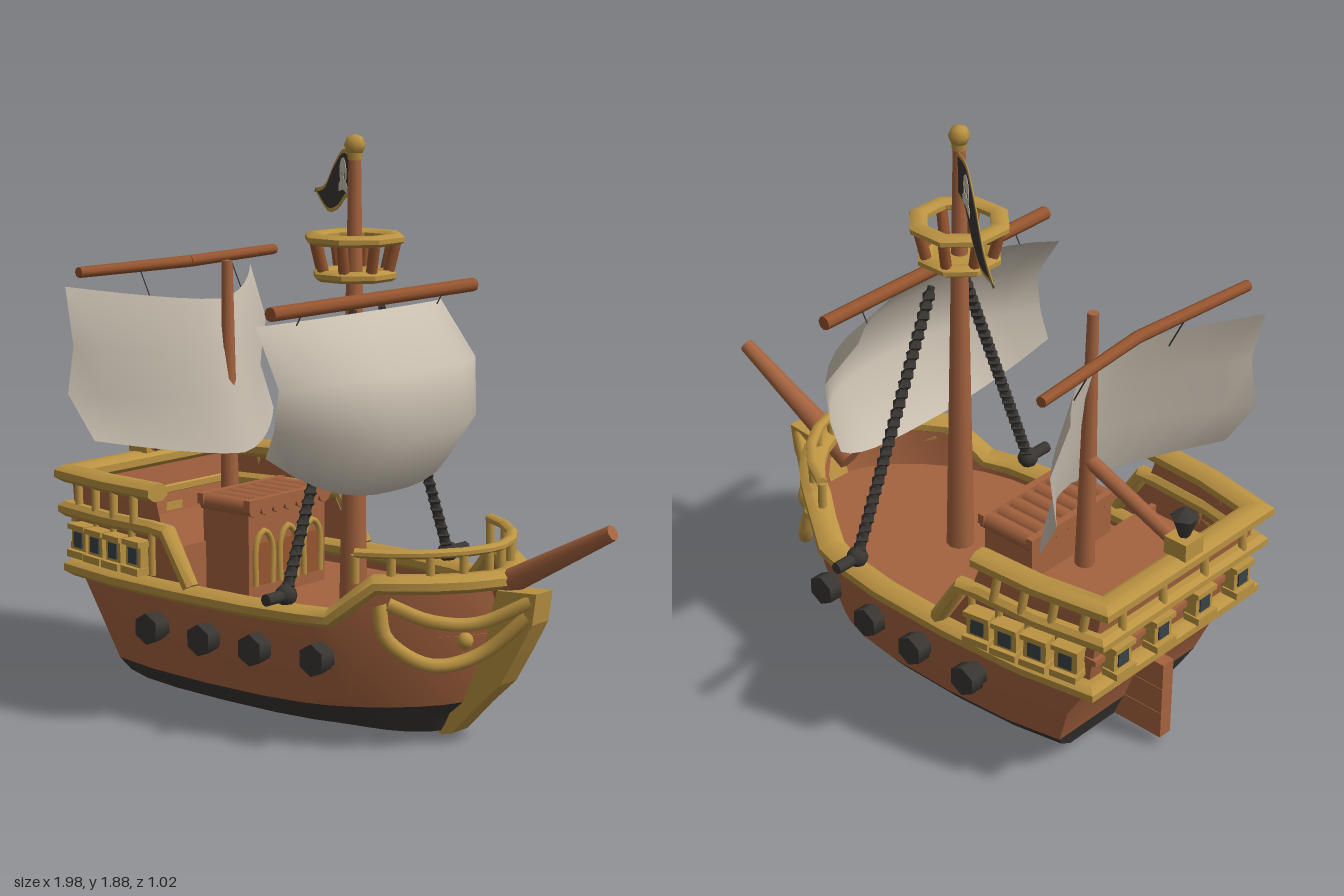
import * as THREE from 'three';
import { toCreasedNormals } from 'three/addons/utils/BufferGeometryUtils.js';

const V = (x, y, z) => new THREE.Vector3(x, y, z);
const mat = (name, color, side = THREE.FrontSide) => {
  const m = new THREE.MeshStandardMaterial({ color, side });
  m.name = name;
  return m;
};

export function createModel() {
  const wood = mat('wood', 0xa5633f, THREE.DoubleSide);
  const darkWood = mat('darkWood', 0x96552f);
  const gold = mat('goldTrim', 0xbb9342);
  const black = mat('black', 0x3a3733, THREE.DoubleSide);
  const canvas = mat('canvas', 0xc9bfb0, THREE.DoubleSide);
  const glass = mat('glass', 0x3a4348);
  const ship = new THREE.Group();
  ship.name = 'sailingShip';

  const add = (name, geo, m, x = 0, y = 0, z = 0) => {
    const mesh = new THREE.Mesh(geo, m);
    mesh.name = name;
    mesh.position.set(x, y, z);
    ship.add(mesh);
    return mesh;
  };
  const box = (name, m, w, h, d, x, y, z) => add(name, new THREE.BoxGeometry(w, h, d), m, x, y, z);
  // tapered round bar between two points
  const bar = (name, m, a, b, r0, r1 = r0, sides = 8) => {
    const d = b.clone().sub(a);
    const mesh = add(name, new THREE.CylinderGeometry(r1, r0, d.length(), sides), m);
    mesh.position.copy(a).addScaledVector(d, 0.5);
    mesh.quaternion.setFromUnitVectors(V(0, 1, 0), d.normalize());
  };
  const tube = (name, m, pts, r) => add(name, new THREE.TubeGeometry(
    new THREE.CatmullRomCurve3(pts, false, 'catmullrom', 0.5), pts.length * 4, r, 8), m);
  // surface through rows of points
  const loft = (rows, crease = 0.7) => {
    const n = rows[0].length, idx = [];
    for (let j = 0; j < rows.length - 1; j++) for (let i = 0; i < n - 1; i++) {
      const a = j * n + i, b = a + n;
      idx.push(a, a + 1, b, a + 1, b + 1, b);
    }
    const g = new THREE.BufferGeometry().setFromPoints(rows.flat());
    g.setIndex(idx);
    g.computeVertexNormals();
    return toCreasedNormals(g, crease);
  };
  // eight-sided flat rail with mitred corners
  const rail = (name, pts, w, h, closed = false) => {
    const n = pts.length;
    const rows = pts.map((p, i) => {
      const before = closed || i > 0 ? p.clone().sub(pts[(i + n - 1) % n]).normalize() : null;
      const after = closed || i < n - 1 ? pts[(i + 1) % n].clone().sub(p).normalize() : null;
      const t = (before || after).clone().add(after || before).normalize();
      const side = V(-t.z, 0, t.x).normalize(), up = side.clone().cross(t);
      const mitre = 1 / Math.max(0.65, t.dot(before || after));
      return Array.from({ length: 9 }, (_, k) => {
        const a = -(k + 0.5) * Math.PI / 4;
        return p.clone().addScaledVector(side, Math.cos(a) * w * 0.54 * mitre).addScaledVector(up, Math.sin(a) * h * 0.54);
      });
    });
    const cap = (p) => Array(9).fill(p);
    add(name, loft(closed ? [...rows, rows[0]] : [cap(pts[0]), ...rows, cap(pts[n - 1])]), gold);
  };
  const mirrored = (side) => [...side, ...side.slice().reverse().map((p) => V(p.x, p.y, -p.z))];

  // ---- hull: plan outline [along, width], then levels [y, stern x, bow x, half width]
  const plan = [[0, 0.86], [0.15, 0.955], [0.35, 1], [0.55, 0.995], [0.68, 0.94], [0.745, 0.875], [0.79, 0.805],
    [0.83, 0.73], [0.88, 0.61], [0.93, 0.45], [0.97, 0.27], [1, 0.04]];
  const sheer = (x) => 0.415 + 0.115 * THREE.MathUtils.smoothstep(x, 0.22, 0.33);
  const level = (y, xs, xb, w) => plan.map(([u, k]) => {
    const x = THREE.MathUtils.lerp(xs, xb, u);
    return V(x, typeof y === 'function' ? y(x) : y, w * k);
  });
  const ring = (side) => { const r = mirrored(side); return [...r, r[0].clone()]; };
  const bottom = (x) => 0.035 - 0.022 * THREE.MathUtils.smoothstep(x, 0.1, 0.38);
  const keel = level(bottom, -0.72, 0.4, 0.28);
  const bilge = level(0.075, -0.735, 0.43, 0.35);
  const water = level(0.12, -0.755, 0.48, 0.388);
  const middle = level((x) => (0.12 + sheer(x)) / 2, -0.81, 0.57, 0.425);
  const rim = level(sheer, -0.9, 0.59, 0.43);
  add('lowerHull', loft([keel, bilge, water].map(ring)), black);
  add('upperHull', loft([water, middle, rim].map(ring)), wood);
  // open-bottomed hull with a wooden lining
  const lining = [level(bottom, -0.712, 0.392, 0.272), level(0.078, -0.727, 0.422, 0.342), level(0.125, -0.745, 0.47, 0.38)];
  add('hullLining', loft(lining.map(ring)), wood);
  const deck = level(0.36, -0.86, 0.58, 0.42);
  add('mainDeck', loft([deck, deck.map((p) => V(p.x, p.y, -p.z))]), wood);
  rail('mainRail', mirrored(rim), 0.085, 0.058, true);
  for (let i = 0; i < 3; i++) box('rudder', wood, 0.2, 0.093, 0.05, -0.81, 0.082 + i * 0.095, 0);

  // ---- stem post
  const stem = new THREE.Shape([[0.6, 0.5], [0.75, 0.51], [0.735, 0.41], [0.68, 0.31], [0.615, 0.2], [0.525, 0.115],
    [0.425, 0.01], [0.385, 0], [0.34, 0.025], [0.45, 0.12], [0.54, 0.3]].reverse().map(([x, y]) => new THREE.Vector2(x, y)));
  add('stemPost', new THREE.ExtrudeGeometry(stem, { depth: 0.085, bevelEnabled: false }), gold, 0, 0, -0.0425);
  bar('bowsprit', wood, V(0.5, 0.46, 0), V(0.985, 0.725, -0.02), 0.045, 0.025);

  // ---- bow railing
  const bowRail = [[0.28, 0.345], [0.38, 0.29], [0.47, 0.21], [0.53, 0.12], [0.56, 0.03]];
  rail('bowRailing', mirrored(bowRail.map(([x, z]) => V(x, 0.625, z))), 0.035, 0.028);

  for (const s of [1, -1]) {
    for (const [x, z] of bowRail) bar('bowRailPost', gold, V(x, 0.53, z * s), V(x, 0.62, z * s), 0.014);
    // head rails sweeping to the stem
    tube('lowerHeadRail', gold, [V(0.36, 0.47, 0.325 * s), V(0.39, 0.36, 0.32 * s), V(0.49, 0.28, 0.23 * s),
      V(0.59, 0.31, 0.11 * s), V(0.71, 0.43, 0.03 * s)], 0.023);
    tube('upperHeadRail', gold, [V(0.38, 0.47, 0.305 * s), V(0.49, 0.42, 0.23 * s), V(0.59, 0.41, 0.12 * s),
      V(0.72, 0.48, 0.03 * s)], 0.022);
    add('headKnob', new THREE.SphereGeometry(0.027, 8, 6), gold, 0.56, 0.355, 0.15 * s);

    // cannons
    for (const [x, out] of [[-0.48, 0.49], [-0.25, 0.49], [-0.04, 0.48], [0.19, 0.45]]) {
      bar('cannon', black, V(x, 0.29, 0.38 * s), V(x, 0.29, (out - 0.02) * s), 0.042, 0.042, 6);
      bar('cannonMuzzle', black, V(x, 0.29, (out - 0.05) * s), V(x, 0.29, out * s), 0.052, 0.052, 6);
    }

    // knotted shrouds
    const foot = V(0.055, 0.47, 0.41 * s), head = V(0.045, 1.33, 0.07 * s);
    bar('shroud', black, foot, head, 0.018, 0.012, 6);
    for (let i = 0; i < 28; i++) {
      const p = foot.clone().lerp(head, i / 28);
      add('shroudKnot', new THREE.OctahedronGeometry(0.028), black, p.x, p.y, p.z);
    }
    add('shroudBlock', new THREE.SphereGeometry(0.036, 8, 6), black, 0.055, 0.47, 0.41 * s);
    bar('shroudPeg', black, V(0.055, 0.47, 0.4 * s), V(0.055, 0.47, 0.505 * s), 0.02);
  }

  // ---- raised stern
  const aft = (y, x0, x1, w) => [V(x0, y, w + 0.055), V((x0 + x1) / 2, y, w + 0.042), V(x1, y, w)];
  add('sternWall', loft([mirrored(aft(0.41, -0.34, -0.89, 0.365)), mirrored(aft(0.6, -0.46, -0.92, 0.37)),
    mirrored(aft(0.72, -0.5, -0.935, 0.365))], 0.4), wood);
  box('sternDeck', wood, 0.43, 0.02, 0.75, -0.71, 0.52, 0);
  box('sternBulkhead', wood, 0.02, 0.17, 0.82, -0.5, 0.445, 0);
  rail('upperSternRail', mirrored(aft(0.728, -0.485, -0.945, 0.365)), 0.085, 0.058);
  rail('middleSternRail', mirrored([V(-0.33, 0.44, 0.435), V(-0.43, 0.607, 0.435), ...aft(0.61, -0.5, -0.945, 0.375)]),
    0.055, 0.05);
  const sternWindow = (x, z, turn) => {
    const g = new THREE.Group();
    g.name = 'sternWindow';
    const part = (w, h, d, m, y, zz) => {
      const p = new THREE.Mesh(new THREE.BoxGeometry(w, h, d), m);
      p.position.set(0, y, zz);
      g.add(p);
    };
    part(0.08, 0.09, 0.05, gold, 0, -0.005);
    part(0.046, 0.052, 0.008, glass, 0.003, 0.021);
    part(0.092, 0.024, 0.06, gold, -0.045, 0.008);
    part(0.092, 0.018, 0.055, gold, 0.045, 0.005);
    g.position.set(x, 0.52, z);
    g.rotation.y = turn;
    ship.add(g);
  };
  for (const s of [1, -1]) {
    [0.405, 0.43, 0.45, 0.462].forEach((z, i) => {
      const x = -0.845 + i * 0.103;
      sternWindow(x, z * s, (s > 0 ? 0 : Math.PI) - 0.18 * s);
      bar('sternBaluster', gold, V(x - 0.035, 0.62, (z - 0.017) * s), V(x - 0.045, 0.72, (z - 0.027) * s), 0.014);
      bar('windowPost', gold, V(x + 0.05, 0.46, (z - 0.012) * s), V(x + 0.05, 0.6, (z - 0.012) * s), 0.012);
    });
    for (const z of [0.1, 0.29]) {
      sternWindow(-0.94, z * s, -Math.PI / 2);
      bar('sternBaluster', gold, V(-0.955, 0.62, z * s), V(-0.95, 0.72, z * s), 0.014);
    }
  }

  // ---- stern lantern
  box('lanternStand', gold, 0.085, 0.06, 0.085, -0.945, 0.785, 0);
  add('lanternBody', new THREE.CylinderGeometry(0.042, 0.018, 0.07, 6), black, -0.945, 0.85, 0);
  add('lanternRoof', new THREE.ConeGeometry(0.047, 0.035, 6), black, -0.945, 0.902, 0);

  // ---- deck cabin with slatted roof and arched openings
  box('cabin', wood, 0.2, 0.3, 0.38, -0.4, 0.5, 0);
  for (let i = 0; i < 7; i++) {
    const z = (i - 3) * 0.058;
    bar('roofSlat', wood, V(-0.505, 0.662, z), V(-0.285, 0.662, z), 0.03);
  }
  for (const x of [-0.5, -0.295]) box('roofEdge', wood, 0.025, 0.035, 0.41, x, 0.674, 0);
  for (const z of [-0.12, 0, 0.12]) {
    const arch = [[0.4, 0.04], [0.53, 0.04], [0.58, 0], [0.53, -0.04], [0.4, -0.04]];
    tube('cabinArch', gold, arch.map(([y, dz]) => V(-0.297, y, z + dz)), 0.011);
    box('cabinOpening', darkWood, 0.006, 0.14, 0.07, -0.299, 0.47, z);
  }

  // ---- masts, yards and boom
  bar('mainMast', wood, V(-0.015, 0.35, 0), V(-0.008, 1.83, 0), 0.047, 0.02, 10);
  add('mastFinial', new THREE.SphereGeometry(0.035, 8, 4), gold, -0.008, 1.845, 0);
  add('mastCollar', new THREE.CylinderGeometry(0.025, 0.022, 0.025, 8), gold, -0.008, 1.81, 0);
  bar('mizzenMast', wood, V(-0.555, 0.5, 0), V(-0.56, 1.44, 0), 0.033, 0.018);
  bar('boom', wood, V(-0.56, 0.92, 0), V(-0.91, 0.78, 0), 0.024);
  bar('mainYard', darkWood, V(0.08, 1.362, -0.505), V(0.08, 1.362, 0.505), 0.023);
  for (const s of [1, -1]) {
    bar('mizzenYard', darkWood, V(-0.735, 1.425, 0), V(-0.775, 1.425, 0.475 * s), 0.02, 0.018);
    bar('sailRope', black, V(-0.75, 1.42, 0.22 * s), V(-0.68, 1.28, 0.22 * s), 0.0025, 0.0025, 4);
    bar('sailRope', black, V(0.08, 1.36, 0.35 * s), V(0.05, 1.31, 0.35 * s), 0.0025, 0.0025, 4);
  }

  // ---- sails: rows of [edge x, edge y, half width, centre x, centre y]
  const sail = (name, rows, power) => add(name, loft(rows.map(([ex, ey, w, cx, cy]) =>
    Array.from({ length: 13 }, (_, i) => {
      const s = i / 6 - 1, k = 1 - Math.abs(s) ** power;
      return V(ex + (cx - ex) * k, ey + (cy - ey) * k, w * s);
    })), 0.9), canvas);
  sail('mainSail', [[-0.02, 1.31, 0.46, 0.1, 1.33], [0.1, 1.13, 0.49, 0.27, 1.15],
    [0.08, 1.0, 0.49, 0.31, 0.95], [0.04, 0.91, 0.485, 0.15, 0.75]], 2.7);
  sail('mizzenSail', [[-0.865, 1.37, 0.45, -0.59, 1.31], [-0.81, 1.18, 0.47, -0.55, 1.14],
    [-0.84, 1.02, 0.47, -0.53, 1.0], [-0.75, 0.87, 0.44, -0.49, 0.8]], 1.45);

  // ---- lookout platform
  const nestPoint = (i, r, y) => V(-0.008 + r * Math.cos((i + 0.5) * Math.PI / 4), y, r * Math.sin((i + 0.5) * Math.PI / 4));
  const hoop = (name, r, y, w, h) => rail(name, Array.from({ length: 8 }, (_, i) => nestPoint(i, r, y)), w, h, true);
  hoop('lookoutTopRing', 0.136, 1.55, 0.056, 0.036);
  hoop('lookoutBaseRing', 0.112, 1.434, 0.05, 0.036);
  add('lookoutFloor', new THREE.CylinderGeometry(0.11, 0.1, 0.025, 8), gold, -0.008, 1.43, 0);
  for (let i = 0; i < 8; i++) bar('lookoutPost', darkWood, nestPoint(i, 0.108, 1.43), nestPoint(i, 0.138, 1.55), 0.018);

  // ---- waving flag with trim and pale emblem
  const flag = new THREE.Group();
  flag.name = 'flag';
  flag.rotation.y = -0.645;
  const wave = (inset) => {
    const curve = (pts, d) => new THREE.SplineCurve(pts.map(([x, y]) => new THREE.Vector2(x, y + d))).getPoints(20);
    return new THREE.Shape([
      ...curve([[0, 1.79], [-0.17, 1.822], [-0.32, 1.765], [-0.46, 1.685], [-0.62, 1.66]], -inset),
      ...curve([[-0.6, 1.648], [-0.42, 1.6], [-0.27, 1.62], [-0.14, 1.668], [0, 1.645]], inset)]);
  };
  const sheet = (name, shape, depth, m) => {
    const f = new THREE.Mesh(new THREE.ExtrudeGeometry(shape, { depth, bevelEnabled: false }), m);
    f.name = name;
    f.position.z = -depth / 2;
    flag.add(f);
  };
  sheet('flagTrim', wave(0), 0.003, gold);
  sheet('flagCloth', wave(0.013), 0.006, black);
  const emblem = new THREE.Shape();
  emblem.absarc(-0.18, 1.745, 0.048, -0.6, Math.PI + 0.6);
  for (const [x, y] of [[-0.245, 1.7], [-0.24, 1.68], [-0.18, 1.69], [-0.12, 1.68], [-0.115, 1.7]]) emblem.lineTo(x, y);
  for (const x of [-0.198, -0.162]) emblem.holes.push(new THREE.Path().absarc(x, 1.735, 0.01, 0, Math.PI * 2, true));
  sheet('flagEmblem', emblem, 0.009, canvas);
  ship.add(flag);
  return ship;
}
